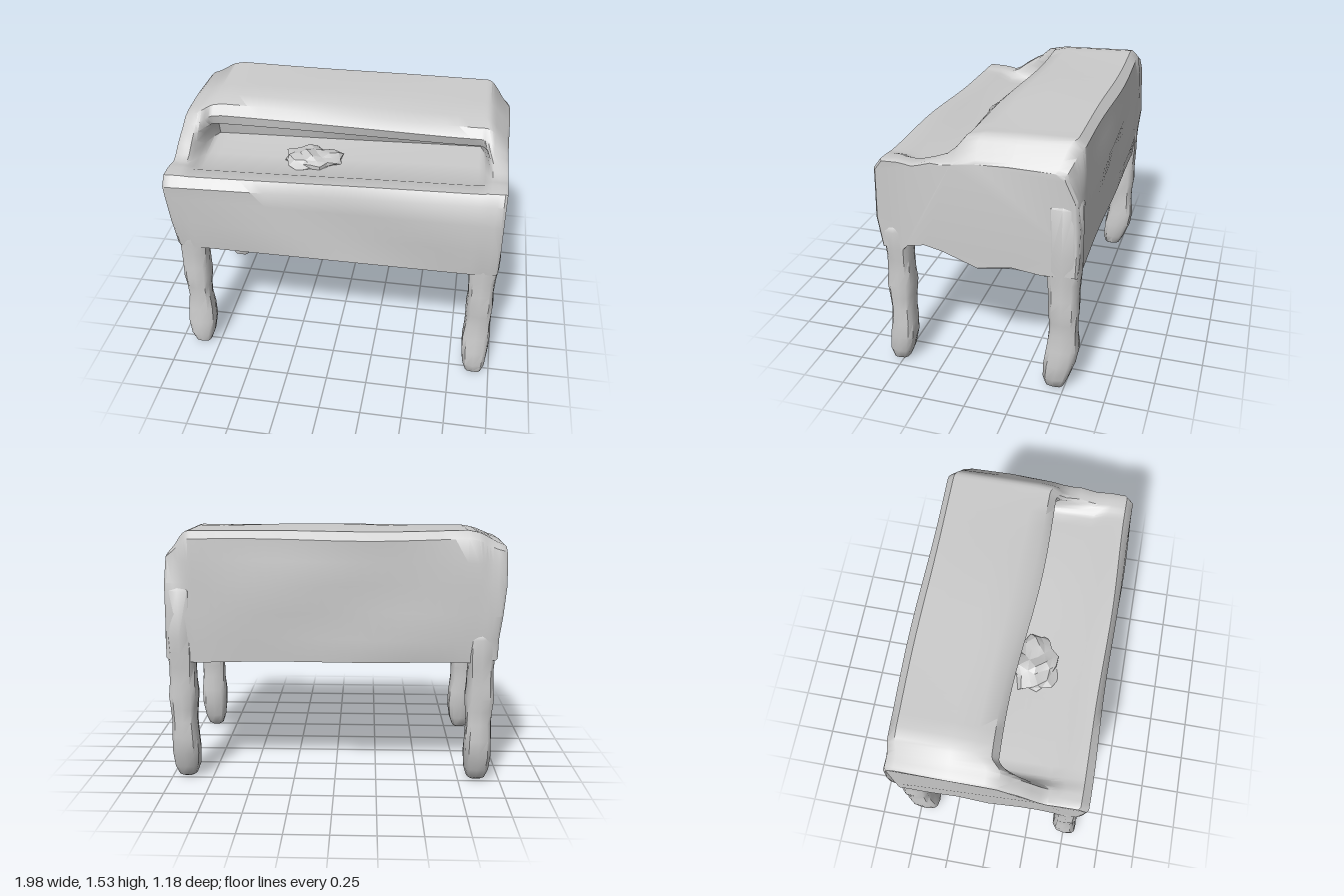
import * as THREE from 'three';
import { toCreasedNormals } from 'three/addons/utils/BufferGeometryUtils.js';

const material = new THREE.MeshStandardMaterial({ color: 0xcccccc });
const { lerp, smoothstep } = THREE.MathUtils;

// Skin a row of closed loops (arrays of [x, y, z]) and cap both ends.
// capPlane lists the two axes whose cross product points from first loop to last.
function skin(loops, capPlane) {
  const n = loops[0].length;
  const index = [];
  for (let j = 0; j < loops.length - 1; j++) {
    for (let i = 0; i < n; i++) {
      const a = j * n + i, b = j * n + (i + 1) % n;
      index.push(a, b, b + n, a, b + n, a + n);
    }
  }
  for (const last of [false, true]) {
    const j = last ? loops.length - 1 : 0;
    const contour = loops[j].map((p) => new THREE.Vector2(p[capPlane[0]], p[capPlane[1]]));
    for (const [a, b, c] of THREE.ShapeUtils.triangulateShape(contour, [])) {
      const A = contour[a], B = contour[b], C = contour[c];
      const ccw = (B.x - A.x) * (C.y - A.y) - (B.y - A.y) * (C.x - A.x) > 0;
      const tri = ccw === last ? [a, b, c] : [a, c, b];
      index.push(...tri.map((k) => j * n + k));
    }
  }
  const g = new THREE.BufferGeometry();
  g.setAttribute('position', new THREE.Float32BufferAttribute(loops.flat(2), 3));
  g.setIndex(index);
  return toCreasedNormals(g, 0.7);
}

function addMesh(parent, name, geometry) {
  const mesh = new THREE.Mesh(geometry, material);
  mesh.name = name;
  parent.add(mesh);
  return mesh;
}

// Soft, worn unevenness
const wobble = (x, y, z) =>
  0.005 * Math.sin(5 * x + 9 * y + 2 * z) + 0.005 * Math.sin(3.1 * x - 23 * y + 11 * z + 1);

// Cross-section as [z, y] at the end walls, then [z, y] in the middle,
// where it has the open well on top and the hollow below.
const SECTION = [
  [-0.56, 0.78, -0.56, 0.76], [-0.575, 0.9, -0.57, 0.9], [-0.575, 1.05, -0.565, 1.05],
  [-0.57, 1.22, -0.575, 1.22], [-0.56, 1.35, -0.57, 1.35], [-0.55, 1.47, -0.565, 1.48],
  [-0.5, 1.525, -0.52, 1.525], [-0.2, 1.525, -0.2, 1.525], [0, 1.515, -0.05, 1.515],
  [0.08, 1.5, 0.04, 1.49], [0.14, 1.44, 0.085, 1.44], [0.19, 1.4, 0.07, 1.39],
  [0.25, 1.365, -0.05, 1.37], [0.31, 1.345, -0.08, 1.29], [0.36, 1.335, 0.15, 1.28],
  [0.41, 1.345, 0.34, 1.285], [0.45, 1.35, 0.43, 1.33], [0.54, 1.35, 0.54, 1.345],
  [0.583, 1.29, 0.583, 1.29], [0.583, 1.15, 0.583, 1.15], [0.58, 0.98, 0.58, 0.98],
  [0.56, 0.8, 0.57, 0.8], [0.45, 0.78, 0.48, 0.785],
  [0.4, 0.82, 0.45, 0.92], [0.3, 0.84, 0.4, 1.09], [0.2, 0.82, 0.22, 1.17],
  [0, 0.75, 0, 1.19], [-0.2, 0.78, -0.3, 1.18], [-0.38, 0.76, -0.44, 1.13],
  [-0.45, 0.77, -0.47, 1.0], [-0.48, 0.78, -0.49, 0.76],
];

function bodyLoop(x) {
  const ax = Math.abs(x);
  const mid = 1 - smoothstep(ax, 0.82, 0.9);
  const round = smoothstep(ax, x > 0 ? 0.84 : 0.76, 1);
  return SECTION.map(([z0, y0, z1, y1], i) => {
    let z = lerp(z0, z1, mid);
    let y = lerp(y0, y1, mid);
    // front lip is lower towards -x; the lid's edge bows forward towards +x
    if (i >= 9 && i <= 18) y -= 0.035 * (1 - x) * smoothstep(i, 9, 14);
    if (i >= 8 && i <= 11) z += 0.025 * Math.sin(2.2 * x) * mid;
    // rounded ends
    if (i >= 4 && i <= 11) y -= (x > 0 ? 0.13 : 0.08) * round * Math.max(0, y - 1.35) / 0.17;
    if (x > 0 && i >= 4 && i <= 6) z += 0.06 * round;
    if (ax > 0.975) { z *= 0.98; y = 1.1 + (y - 1.1) * 0.97; }
    const w = wobble(x, y, z);
    // the -x side leans in towards the bottom
    const taper = x < -0.8 ? 1 - 0.04 * (1 - smoothstep(y, 0.8, 1.22)) : 1;
    const px = ax > 0.91 ? x * taper * (1 + 0.5 * wobble(1, y * 0.6, z * 0.7)) : x;
    return [px, y + w * 0.8, z + w];
  });
}

// Leg of softly squared section with lumps, running up to height top;
// the foot tapers and leans by footLean
function legGeometry(cx, cz, depth, footLean, top, phase) {
  const rows = [
    [0.005, 0.03], [0.02, 0.054], [0.08, 0.076], [0.18, 0.088], [0.28, 0.086], [0.38, 0.077],
    [0.46, 0.08], [0.54, 0.087], [0.62, 0.082], [0.72, 0.084], [0.8, 0.09], [0.9, 0.092],
    [top - 0.05, 0.088], [top, 0.05],
  ];
  const sides = 12;
  const sq = (v) => Math.sign(v) * Math.pow(Math.abs(v), 0.65);
  const loops = rows.map(([y, r]) => Array.from({ length: sides }, (_, i) => {
    const a = (i / sides) * Math.PI * 2;
    const k = r * (1 + 0.05 * Math.sin(13 * y + phase + 2 * a));
    const lean = footLean * (1 - smoothstep(y, 0, 0.3));
    return [cx + sq(Math.sin(a)) * k * 0.97, y, cz + sq(Math.cos(a)) * k * depth + lean];
  }));
  return skin(loops, [2, 0]);
}

export function createModel() {
  const group = new THREE.Group();
  group.name = 'woodenDesk';

  // Body: end walls, lid, open well and hollow underside in one shell
  const xs = [0.985, 0.97, 0.935, 0.9, 0.88, 0.86, 0.84, 0.82];
  const stations = xs.map((x) => -x);
  for (let i = -10; i <= 10; i++) stations.push(i * 0.076);
  stations.push(...[...xs].reverse());
  addMesh(group, 'body', skin(stations.map(bodyLoop), [1, 2]));

  // Legs; the back left one continues up the corner as a post
  const legs = [
    ['frontLeftLeg', 0.9, 0.485, 0.86, 0.03, 0.98], ['frontRightLeg', -0.86, 0.485, 0.86, 0.03, 0.98],
    ['backLeftLeg', 0.908, -0.485, 1.05, 0.045, 1.23], ['backRightLeg', -0.86, -0.485, 1.0, 0.045, 0.98],
  ];
  legs.forEach(([name, x, z, depth, lean, top], i) =>
    addMesh(group, name, legGeometry(x, z, depth, lean, top, i * 1.7)));

  // Crumpled heap in the well, under the lid's edge
  const heap = new THREE.IcosahedronGeometry(1, 2);
  const p = heap.attributes.position;
  for (let i = 0; i < p.count; i++) {
    const x = p.getX(i), y = p.getY(i), z = p.getZ(i);
    const k = 1 + 0.22 * Math.sin(7 * x + 4 * z) * Math.cos(6 * z - 3 * y);
    p.setXYZ(i, x * k * 0.17, y * k * 0.06, z * k * 0.13);
  }
  addMesh(group, 'crumpledHeap', toCreasedNormals(heap, 0.3)).position.set(-0.17, 1.235, 0.16);

  return group;
}
